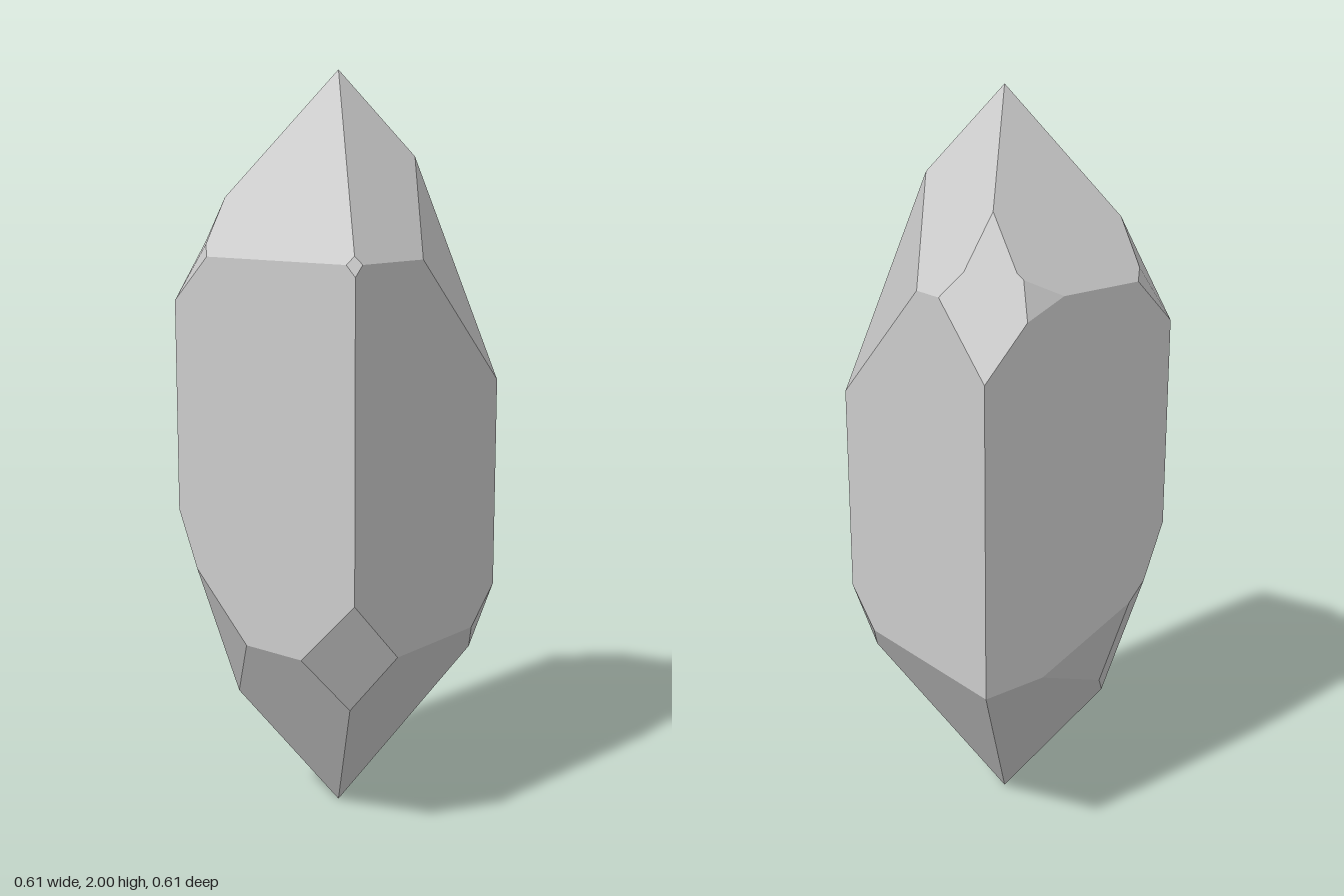
import * as THREE from 'three';

const V = (x, y, z) => new THREE.Vector3(x, y, z);
const HALF = 0.304, LOW = 0.518, HIGH = 1.53;
const CENTRE = V(0, 1, 0);

// Square prism with a pyramid at each end, as loops of shared corner points
function bipyramidFaces() {
  const signs = [[1, 1], [1, -1], [-1, -1], [-1, 1]];
  const ring = (y) => signs.map(([sx, sz]) => V(sx * HALF, y, sz * HALF));
  const low = ring(LOW), high = ring(HIGH);
  const tip = V(0, 2, 0), foot = V(0, 0, 0);
  const faces = [];
  for (let i = 0; i < 4; i++) {
    const j = (i + 1) % 4;
    faces.push([low[i], low[j], high[j], high[i]], [high[i], high[j], tip], [low[j], low[i], foot]);
  }
  return faces;
}

// Cut off the corner nearest to a point, the same distance along each of its edges
function chip(faces, [x, y, z], dist) {
  const target = V(x, y, z);
  const corner = faces.flat().reduce((a, b) =>
    (b.distanceToSquared(target) < a.distanceToSquared(target) ? b : a));
  const cuts = new Map(), follow = new Map();
  const cut = (end) => {
    if (!cuts.has(end)) {
      const step = end.clone().sub(corner).setLength(dist);
      cuts.set(end, step.add(corner));
    }
    return cuts.get(end);
  };
  for (const face of faces) {
    const i = face.indexOf(corner);
    if (i < 0) continue;
    const n = face.length;
    const before = cut(face[(i + n - 1) % n]), after = cut(face[(i + 1) % n]);
    face.splice(i, 1, before, after);
    follow.set(after, before);
  }
  // The new facet runs against the loops of its neighbours
  const start = follow.keys().next().value;
  const cap = [start];
  for (let p = follow.get(start); p !== start; p = follow.get(p)) cap.push(p);
  faces.push(cap);
}

// Fan of triangles that bulges outwards the most
function fan(face) {
  let best = null, bestVolume = -Infinity;
  face.forEach((_, s) => {
    const loop = [...face.slice(s), ...face.slice(0, s)];
    const tris = [];
    let volume = 0;
    for (let i = 1; i < loop.length - 1; i++) {
      const tri = [loop[0], loop[i], loop[i + 1]];
      const [a, b, c] = tri.map((p) => p.clone().sub(CENTRE));
      volume += a.dot(b.cross(c));
      tris.push(...tri);
    }
    if (volume > bestVolume + 1e-9) { best = tris; bestVolume = volume; }
  });
  return best;
}

// One flat normal per facet
function facetNormal(face) {
  const n = V(0, 0, 0);
  face.forEach((p, i) => n.add(p.clone().cross(face[(i + 1) % face.length])));
  return n.normalize();
}

function facetGeometry(faces) {
  const position = [], normal = [];
  for (const face of faces) {
    const n = facetNormal(face);
    for (const p of fan(face)) {
      position.push(p.x, p.y, p.z);
      normal.push(n.x, n.y, n.z);
    }
  }
  const geometry = new THREE.BufferGeometry();
  geometry.setAttribute('position', new THREE.Float32BufferAttribute(position, 3));
  geometry.setAttribute('normal', new THREE.Float32BufferAttribute(normal, 3));
  return geometry;
}

export function createModel() {
  const faces = bipyramidFaces();

  // Upper shoulders
  chip(faces, [HALF, HIGH, HALF], 0.34);
  chip(faces, [-HALF, HIGH, HALF], 0.028);
  chip(faces, [-HALF, HIGH, -HALF], 0.119);
  chip(faces, [HALF, HIGH, -HALF], 0.178);
  // Smaller chips on the corners those left
  chip(faces, [-0.247, 1.618, -0.247], 0.08);
  chip(faces, [0.218, 1.661, -0.218], 0.092);
  chip(faces, [0.126, HIGH, -HALF], 0.067);

  // Lower shoulders
  chip(faces, [HALF, LOW, HALF], 0.102);
  chip(faces, [-HALF, LOW, HALF], 0.176);
  chip(faces, [-HALF, LOW, -HALF], 0.242);
  // Smaller chips on the corners those left
  chip(faces, [-0.062, LOW, -HALF], 0.178);
  chip(faces, [-HALF, 0.76, -HALF], 0.09);

  const crystal = new THREE.Mesh(
    facetGeometry(faces),
    new THREE.MeshStandardMaterial({ color: 0xcccccc })
  );
  crystal.name = 'crystal';

  const group = new THREE.Group();
  group.name = 'crystalShard';
  group.add(crystal);
  return group;
}
